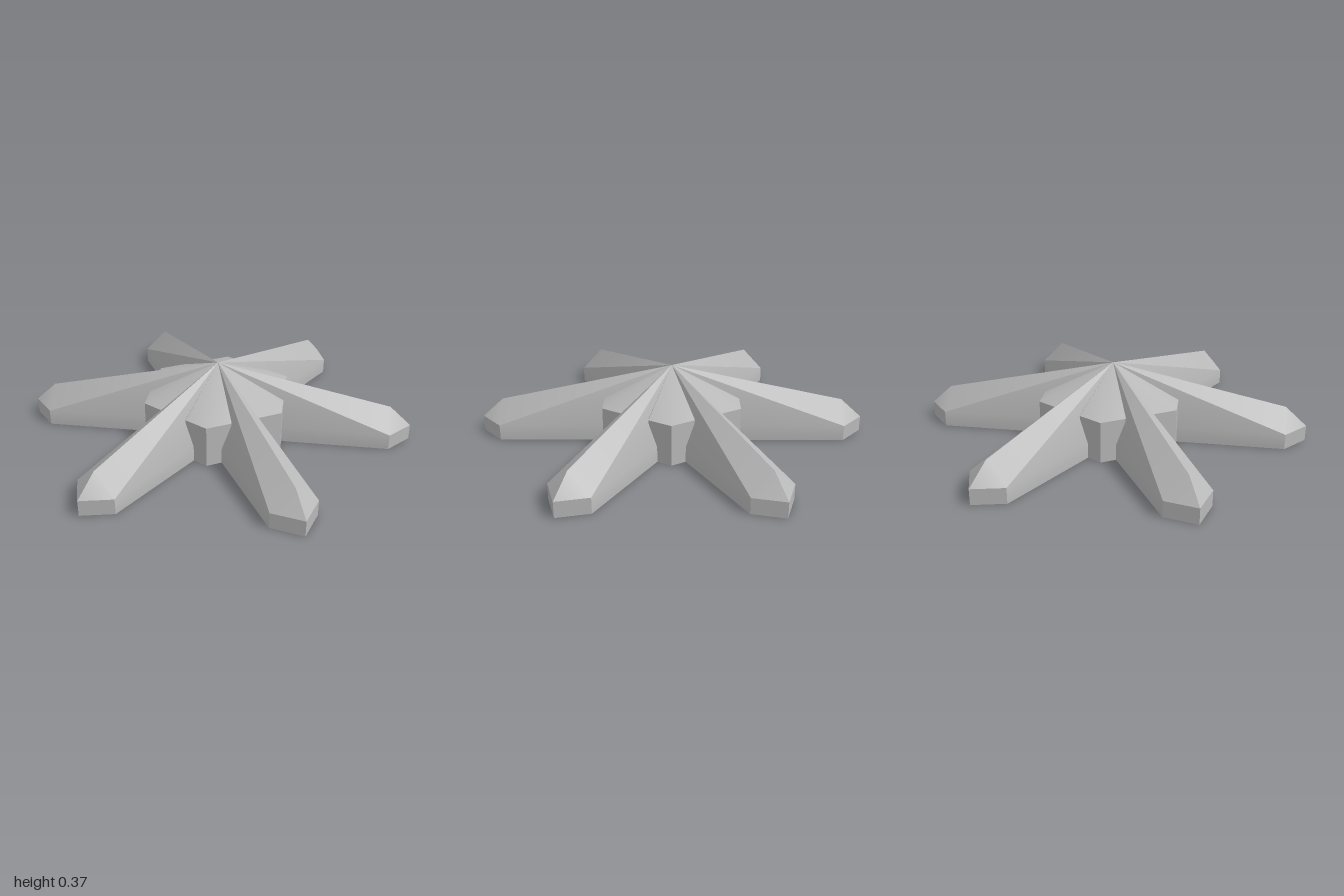
import * as THREE from 'three';
import { toCreasedNormals } from 'three/addons/utils/BufferGeometryUtils.js';

const APEX = 0.37;

// One pointed arm along +x: straight walls up to `wall`, then faces rising to the common apex.
// `ridge` is the height of the ridge above the shoulder; without it the roof runs straight to the tip.
function armGeometry({ length, shoulder, half, wall, ridge }) {
  const inner = half * Math.sqrt(3);
  const pos = [];
  for (const s of [1, -1]) {
    const A = [0, APEX, 0], O = [0, 0, 0];
    const T = [length, wall, 0], T0 = [length, 0, 0];
    const C = [shoulder, wall, s * half], C0 = [shoulder, 0, s * half];
    const I = [inner, wall, s * half], I0 = [inner, 0, s * half];
    const R = ridge ? [shoulder, ridge, 0] : null;
    const tri = (a, b, c) => pos.push(...a, ...(s > 0 ? b : c), ...(s > 0 ? c : b));
    const quad = (a, b, c, d) => { tri(a, b, c); tri(a, c, d); };
    // roof
    if (R) {
      tri(A, C, R);
      tri(R, C, T);
    } else {
      tri(A, C, T);
    }
    tri(A, I, C);
    // side wall and end wall
    quad(I, I0, C0, C);
    quad(C, C0, T0, T);
    // underside
    quad(O, T0, C0, I0);
  }
  const geometry = new THREE.BufferGeometry();
  geometry.setAttribute('position', new THREE.Float32BufferAttribute(pos, 3));
  return toCreasedNormals(geometry, 0.49);
}

export function createModel() {
  const model = new THREE.Group();
  model.name = 'sixArmedStar';

  const grey = new THREE.MeshStandardMaterial({ color: 0xb8b8b8 });
  grey.name = 'grey';

  const longArm = armGeometry({ length: 1, shoulder: 0.89, half: 0.12, wall: 0.08, ridge: 0.18 });
  const shortArm = armGeometry({ length: 0.4, shoulder: 0.336, half: 0.112, wall: 0.213 });

  // Long arms alternate with short ones every 30 degrees
  for (let i = 0; i < 12; i++) {
    const isLong = i % 2 === 0;
    const arm = new THREE.Mesh(isLong ? longArm : shortArm, grey);
    arm.name = isLong ? 'longArm' : 'shortArm';
    arm.rotation.y = (i * Math.PI) / 6;
    model.add(arm);
  }
  return model;
}
